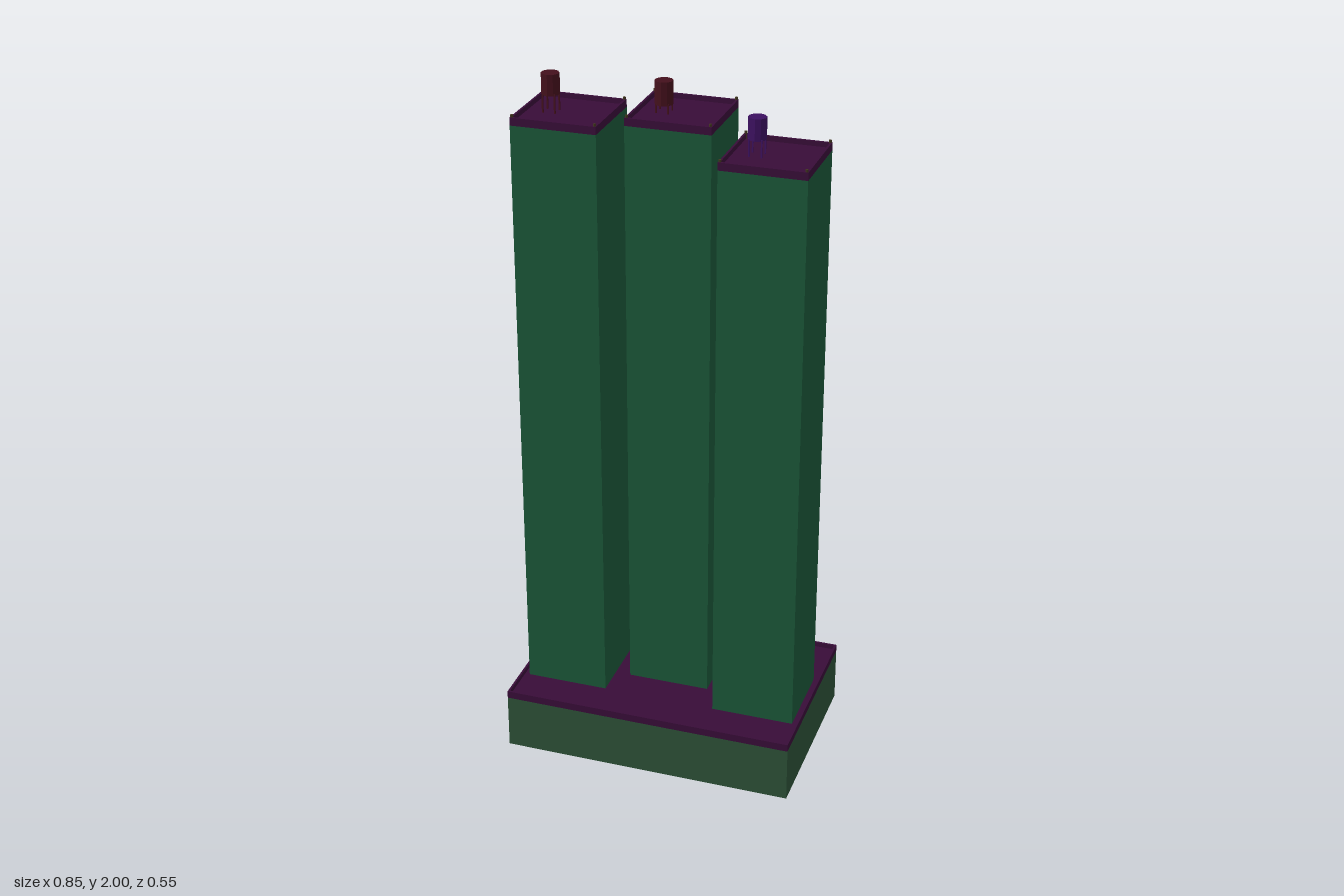
import * as THREE from 'three';

const mat = (color) => new THREE.MeshStandardMaterial({ color, flatShading: true });
const green = mat(0x1a5638);
const purple = mat(0x380c38);
const mossy = mat(0x2c5036);
mossy.side = THREE.DoubleSide;
const plum = mat(0x380c38);
plum.side = THREE.DoubleSide;
const olive = mat(0x40351f);
const red = mat(0x44101c);
const violet = mat(0x3c1060);

function add(parent, name, geometry, material, x = 0, y = 0, z = 0) {
  const mesh = new THREE.Mesh(geometry, material);
  mesh.name = name;
  mesh.position.set(x, y, z);
  parent.add(mesh);
  return mesh;
}

// Flat roof with a raised rim; y is the top of the rim
function addRoof(parent, w, d, y, t) {
  const lip = 0.022;
  add(parent, 'roof', new THREE.BoxGeometry(w - t, 0.008, d - t), purple, 0, y - lip + 0.004, 0);
  const ring = new THREE.Shape([[-1, -1], [1, -1], [1, 1], [-1, 1]]
    .map(([a, b]) => new THREE.Vector2(a * w / 2, b * d / 2)));
  ring.holes.push(new THREE.Path([[-1, -1], [-1, 1], [1, 1], [1, -1]]
    .map(([a, b]) => new THREE.Vector2(a * (w / 2 - t), b * (d / 2 - t)))));
  const geo = new THREE.ExtrudeGeometry(ring, { depth: lip, bevelEnabled: false });
  geo.rotateX(-Math.PI / 2);
  add(parent, 'parapet', geo, purple, 0, y - lip, 0);
}

// Hollow base, open underneath, with a plain back wall
function makePodium() {
  const g = new THREE.Group();
  g.name = 'podium';
  const w = 0.852, d = 0.546, top = 0.185, h = top - 0.022;
  for (let i = 0; i < 4; i++) {
    const along = i % 2 ? d : w;
    const out = (i % 2 ? w : d) / 2;
    const angle = i * Math.PI / 2;
    const wall = add(g, ['frontWall', 'leftWall', 'backWall', 'rightWall'][i],
      new THREE.PlaneGeometry(along, h), i === 2 ? plum : mossy,
      Math.sin(angle) * out, h / 2, Math.cos(angle) * out);
    wall.rotation.y = angle;
  }
  addRoof(g, w, d, top, 0.006);
  return g;
}

// Drum on four thin legs
function makeTank(material, roofY, bottom, top) {
  const g = new THREE.Group();
  g.name = 'waterTank';
  add(g, 'drum', new THREE.CylinderGeometry(0.025, 0.025, top - bottom, 10), material, 0, (top + bottom) / 2, 0);
  const legH = bottom - roofY + 0.004;
  for (const sx of [-1, 1]) for (const sz of [-1, 1]) {
    add(g, 'tankLeg', new THREE.BoxGeometry(0.004, legH, 0.004), material,
      sx * 0.017, roofY + legH / 2, sz * 0.017);
  }
  return g;
}

function makeTower({ x, z, top, tank, tankBottom, tankTop }) {
  const g = new THREE.Group();
  g.name = 'tower';
  const w = 0.24, foot = 0.165, wallTop = top - 0.022;
  add(g, 'towerWalls', new THREE.BoxGeometry(w, wallTop - foot, w), green, 0, (wallTop + foot) / 2, 0);
  addRoof(g, w, w, top, 0.006);
  // Small posts at the roof corners
  for (const sx of [-1, 1]) for (const sz of [-1, 1]) {
    add(g, 'cornerPost', new THREE.CylinderGeometry(0.004, 0.004, 0.03, 6), olive,
      sx * 0.115, top - 0.008, sz * 0.115);
  }
  const t = makeTank(tank, wallTop + 0.008, tankBottom, tankTop);
  t.position.set(-0.05, 0, 0);
  g.add(t);
  g.position.set(x, 0, z);
  return g;
}

export function createModel() {
  const model = new THREE.Group();
  model.name = 'towerBlock';
  model.add(makePodium());
  const towers = [
    { x: -0.286, z: 0.029, top: 1.907, tank: red, tankBottom: 1.942, tankTop: 2.0 },
    { x: -0.001, z: -0.063, top: 1.907, tank: red, tankBottom: 1.915, tankTop: 1.98 },
    { x: 0.284, z: 0.029, top: 1.849, tank: violet, tankBottom: 1.88, tankTop: 1.94 },
  ];
  for (const spec of towers) model.add(makeTower(spec));
  return model;
}
